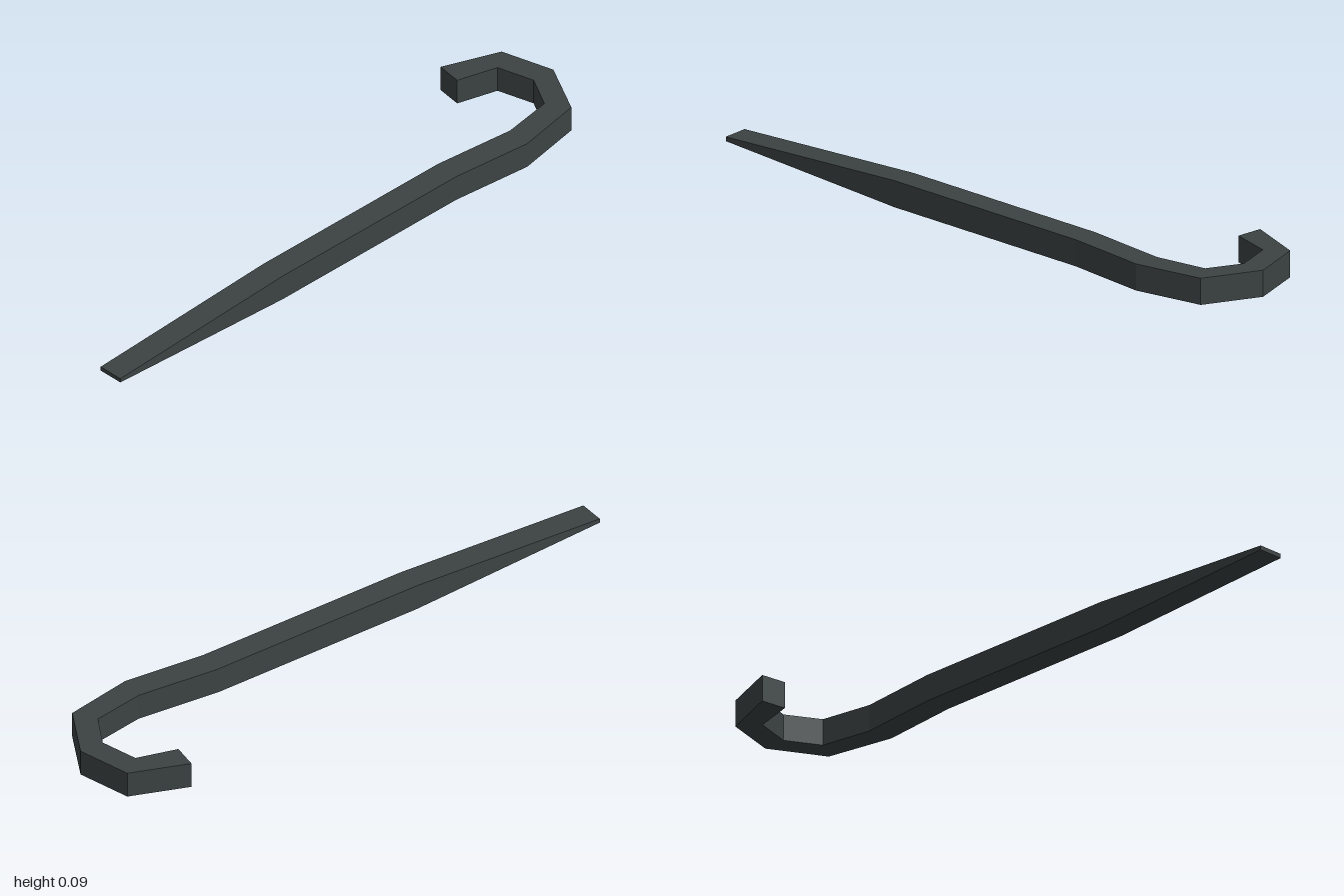
import * as THREE from 'three';

// Stations from the flat tip to the end of the hook:
// outer x, outer z, inner x, inner z, half height
const STATIONS = [
  [0.203, 1, 0.118, 1, 0.007],
  [0.203, 0.32, 0.118, 0.32, 0.043],
  [0.203, -0.41, 0.118, -0.415, 0.043],
  [0.231, -0.68, 0.147, -0.69, 0.043],
  [0.19, -0.905, 0.12, -0.86, 0.043],
  [0.015, -1, 0.012, -0.92, 0.043],
  [-0.16, -0.953, -0.11, -0.887, 0.043],
  [-0.232, -0.767, -0.148, -0.755, 0.043],
];
const MID = 0.043;

// Four corners of one section
function ring([ox, oz, ix, iz, h]) {
  return [
    [ox, MID + h, oz],
    [ix, MID + h, iz],
    [ix, MID - h, iz],
    [ox, MID - h, oz],
  ];
}

// Closed bar through all sections, with separate flat faces
function barGeometry(stations) {
  const rings = stations.map(ring);
  const positions = [];
  const quad = (a, b, c, d) => positions.push(...a, ...b, ...c, ...a, ...c, ...d);
  for (let s = 0; s < rings.length - 1; s++) {
    const a = rings[s];
    const b = rings[s + 1];
    for (let i = 0; i < 4; i++) {
      const j = (i + 1) % 4;
      quad(a[i], b[i], b[j], a[j]);
    }
  }
  quad(...rings[0]);
  quad(...rings[rings.length - 1].slice().reverse());

  const geometry = new THREE.BufferGeometry();
  geometry.setAttribute('position', new THREE.Float32BufferAttribute(positions, 3));
  geometry.computeVertexNormals();
  return geometry;
}

export function createModel() {
  const group = new THREE.Group();
  group.name = 'pryBar';

  const darkSteel = new THREE.MeshStandardMaterial({ color: 0x3c4343 });
  darkSteel.name = 'darkSteel';
  darkSteel.flatShading = true;

  // Tapered shaft and hook are one continuous bar
  const bar = new THREE.Mesh(barGeometry(STATIONS), darkSteel);
  bar.name = 'hookedBar';
  group.add(bar);
  return group;
}
